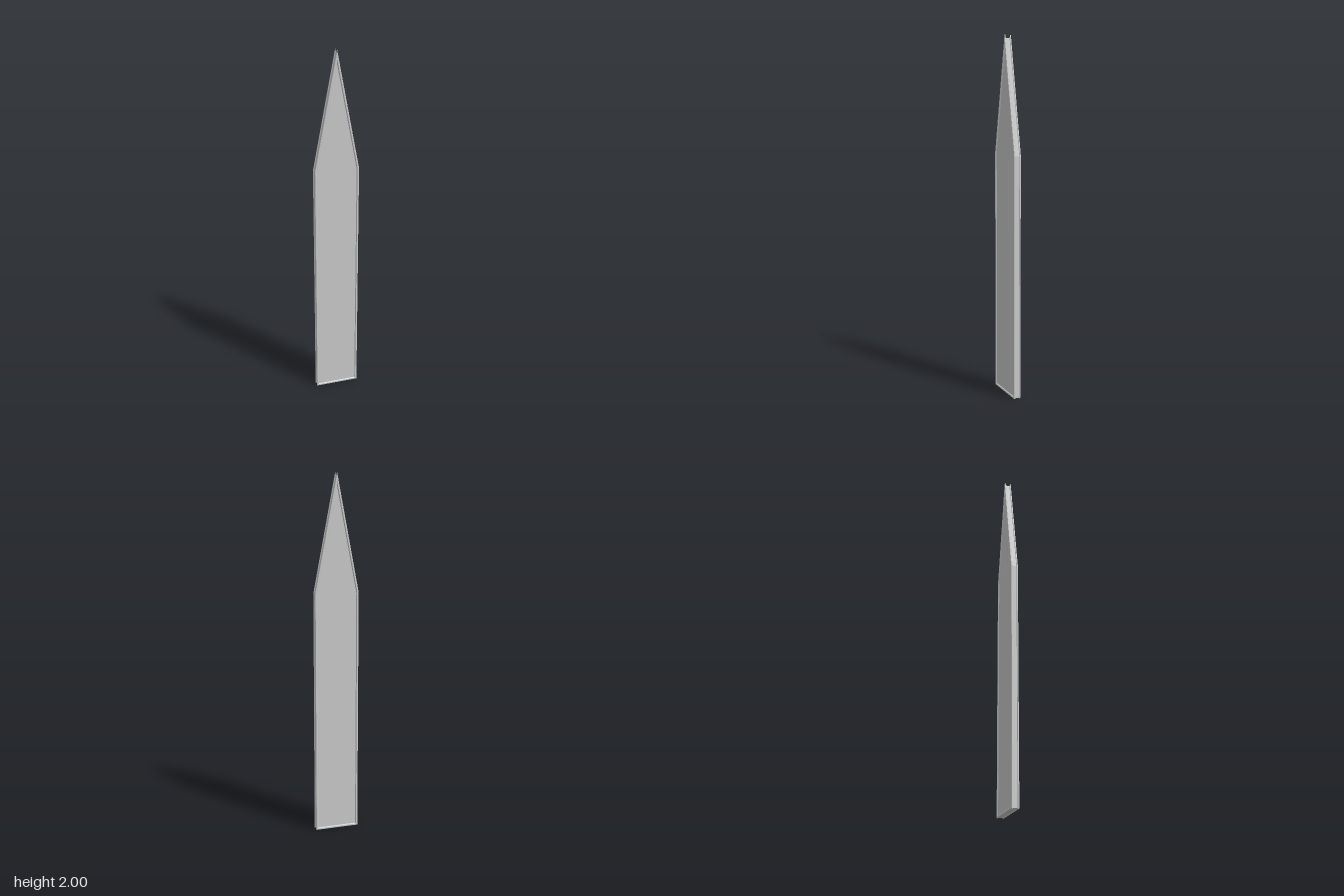
import * as THREE from 'three';

const HALF = 0.124, SHOULDER = 1.36, TIP = 2;
const RISE = TIP - SHOULDER;
const SIN = HALF / Math.hypot(HALF, RISE);

// Pointed outline, shrunk evenly by d on every side (counter-clockwise from the front)
function outline(d) {
  const x = HALF - d, tip = TIP - d / SIN;
  const shoulder = tip - x * RISE / HALF;
  return [[-x, d], [x, d], [x, shoulder], [0, tip], [-x, shoulder]];
}

// Sweep a closed profile of [inset, z] points around the outline
function sweepFrame(profile) {
  const loops = profile.map(([d, z]) => outline(d).map(([x, y]) => [x, y, z]));
  const pos = [];
  loops.forEach((a, i) => {
    const b = loops[(i + 1) % loops.length];
    for (let j = 0; j < a.length; j++) {
      const k = (j + 1) % a.length;
      pos.push(...a[j], ...b[k], ...b[j], ...a[j], ...a[k], ...b[k]);
    }
  });
  const geo = new THREE.BufferGeometry();
  geo.setAttribute('position', new THREE.Float32BufferAttribute(pos, 3));
  geo.computeVertexNormals();
  return geo;
}

export function createModel() {
  const group = new THREE.Group();
  group.name = 'pointedPanel';
  const material = new THREE.MeshStandardMaterial({ color: 0xcccccc, flatShading: true });

  // Raised rim with small bevels and a shallow groove around the outer edge
  const half = [[0.003, 0], [0.003, 0.011], [0, 0.014], [0, 0.018], [0.002, 0.02], [0.009, 0.02], [0.013, 0.015]];
  const mirrored = half.slice(1).reverse().map(([d, z]) => [d, -z]);
  const frame = new THREE.Mesh(sweepFrame([...mirrored, ...half]), material);
  frame.name = 'rim';
  group.add(frame);

  // Flat panel set back inside the rim
  const shape = new THREE.Shape(outline(0.012).map(([x, y]) => new THREE.Vector2(x, y)));
  const panelGeo = new THREE.ExtrudeGeometry(shape, { depth: 0.03, bevelEnabled: false });
  panelGeo.translate(0, 0, -0.015);
  const panel = new THREE.Mesh(panelGeo, material);
  panel.name = 'panel';
  group.add(panel);

  return group;
}
